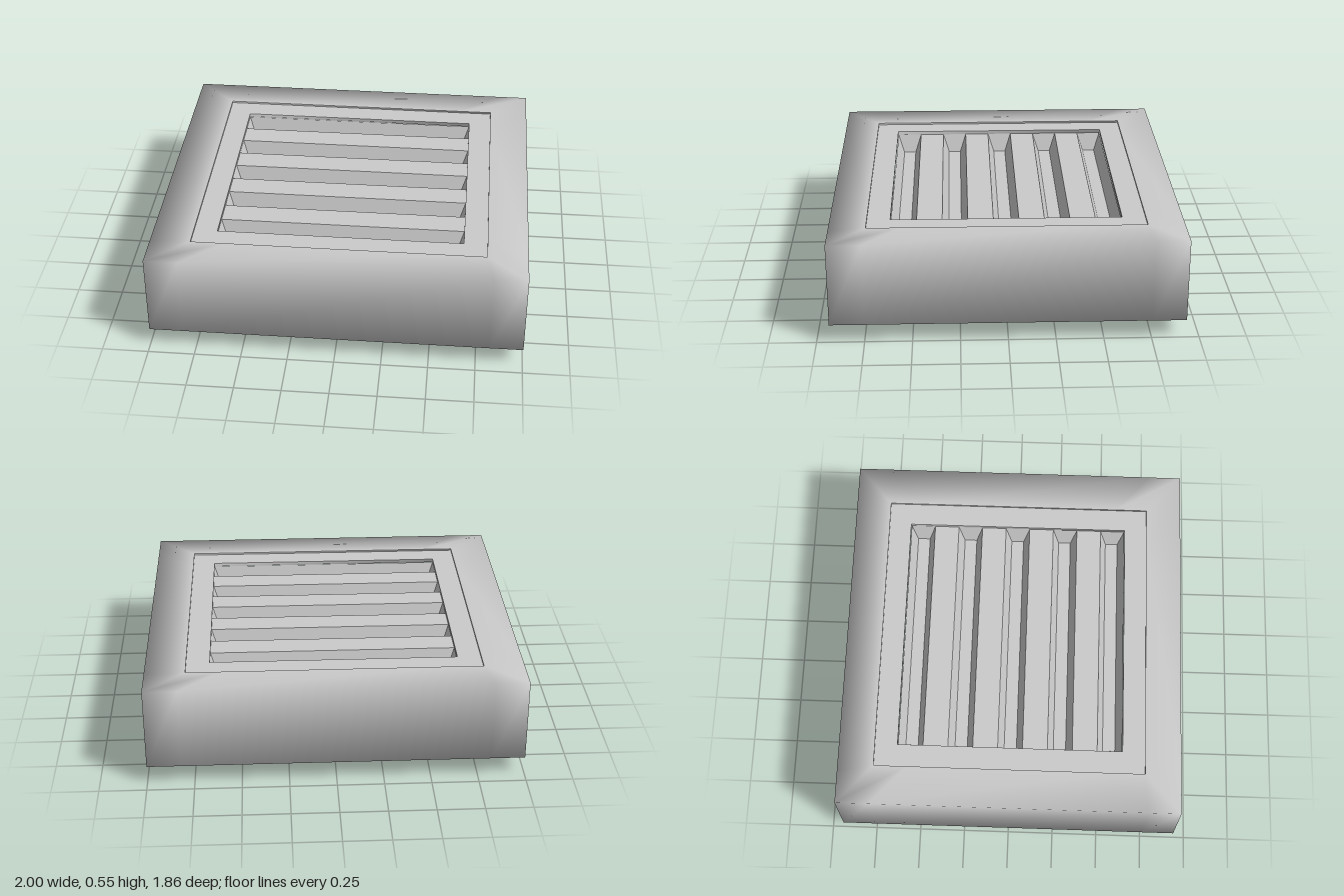
import * as THREE from 'three';

const material = new THREE.MeshStandardMaterial({ color: 0xcccccc });

// Rectangle outline, counter-clockwise from above, with extra points beside each corner
function outline(w, d, y, inset) {
  const corners = [[w, d], [w, -d], [-w, -d], [-w, d]];
  if (!inset) return corners.map(([x, z]) => [x, y, z]);
  const points = [];
  corners.forEach(([x, z], i) => {
    const alongX = [x - Math.sign(x) * inset, y, z];
    const alongZ = [x, y, z - Math.sign(z) * inset];
    points.push(...(i % 2 ? [alongZ, [x, y, z], alongX] : [alongX, [x, y, z], alongZ]));
  });
  return points;
}

// Skin a stack of rectangles given as [halfWidth, halfDepth, height]
function loft(rings, inset = 0, cap = false) {
  const loops = rings.map(([w, d, y]) => outline(w, d, y, inset));
  const n = loops[0].length;
  const index = [];
  for (let r = 0; r < loops.length - 1; r++) {
    for (let i = 0; i < n; i++) {
      const j = (i + 1) % n;
      const a = r * n + i, b = r * n + j, c = b + n, d = a + n;
      index.push(a, b, c, a, c, d);
    }
  }
  const last = (loops.length - 1) * n;
  if (cap) for (let i = 1; i < n - 1; i++) index.push(last, last + i, last + i + 1);
  const geometry = new THREE.BufferGeometry();
  geometry.setAttribute('position', new THREE.Float32BufferAttribute(loops.flat(2), 3));
  geometry.setIndex(index);
  geometry.computeVertexNormals();
  return geometry;
}

function rectangle(PathType, w, d, centre = 0) {
  return new PathType([[-w, -d], [w, -d], [w, d], [-w, d]]
    .map(([x, y]) => new THREE.Vector2(x, y + centre)));
}

// Flat upward-facing plate with rectangular holes given as [halfWidth, halfDepth, centre]
function plate(w, d, holes) {
  const shape = rectangle(THREE.Shape, w, d);
  holes.forEach((hole) => shape.holes.push(rectangle(THREE.Path, ...hole)));
  return new THREE.ShapeGeometry(shape).rotateX(-Math.PI / 2);
}

export function createModel() {
  const model = new THREE.Group();
  model.name = 'ventGrille';
  const add = (name, geometry) => {
    const mesh = new THREE.Mesh(geometry, material);
    mesh.name = name;
    model.add(mesh);
    return mesh;
  };

  const top = 0.553, bottom = 0.1, frameY = 0.543, grilleY = 0.523;
  const openW = 0.66, openD = 0.614, slotD = 0.068, pitch = 0.272;

  // Housing: underside, softly shaded sides and top border
  add('housing', loft([
    [0.655, 0.613, bottom], [1, 0.932, bottom], [1, 0.932, top], [0.785, 0.737, top],
  ], 0.18));

  // Face frame, a small step below the border
  add('frameStep', loft([[0.785, 0.737, top], [0.785, 0.737, frameY]]));
  add('faceFrame', plate(0.785, 0.737, [[openW, openD]])).position.y = frameY;

  // Grille bars set slightly into the frame opening
  add('openingEdge', loft([[openW, openD, frameY], [openW, openD, grilleY]]));
  const bar = plate(openW, pitch / 2 - slotD, []);
  for (let i = -1.5; i <= 1.5; i++) add('grilleBar', bar).position.set(0, grilleY, i * pitch);

  // Slots tapering down to a narrow floor
  const slot = loft([
    [openW, slotD, grilleY], [openW - 0.035, slotD - 0.034, grilleY - 0.1],
  ], 0, true).toNonIndexed();
  slot.computeVertexNormals();
  for (let i = -2; i <= 2; i++) add('slot', slot).position.z = i * pitch;

  // Solid mounting base with softly shaded edges
  add('mountingBase', loft([[0, 0, 0], [0.655, 0.613, 0], [0.655, 0.613, bottom]]));

  return model;
}
